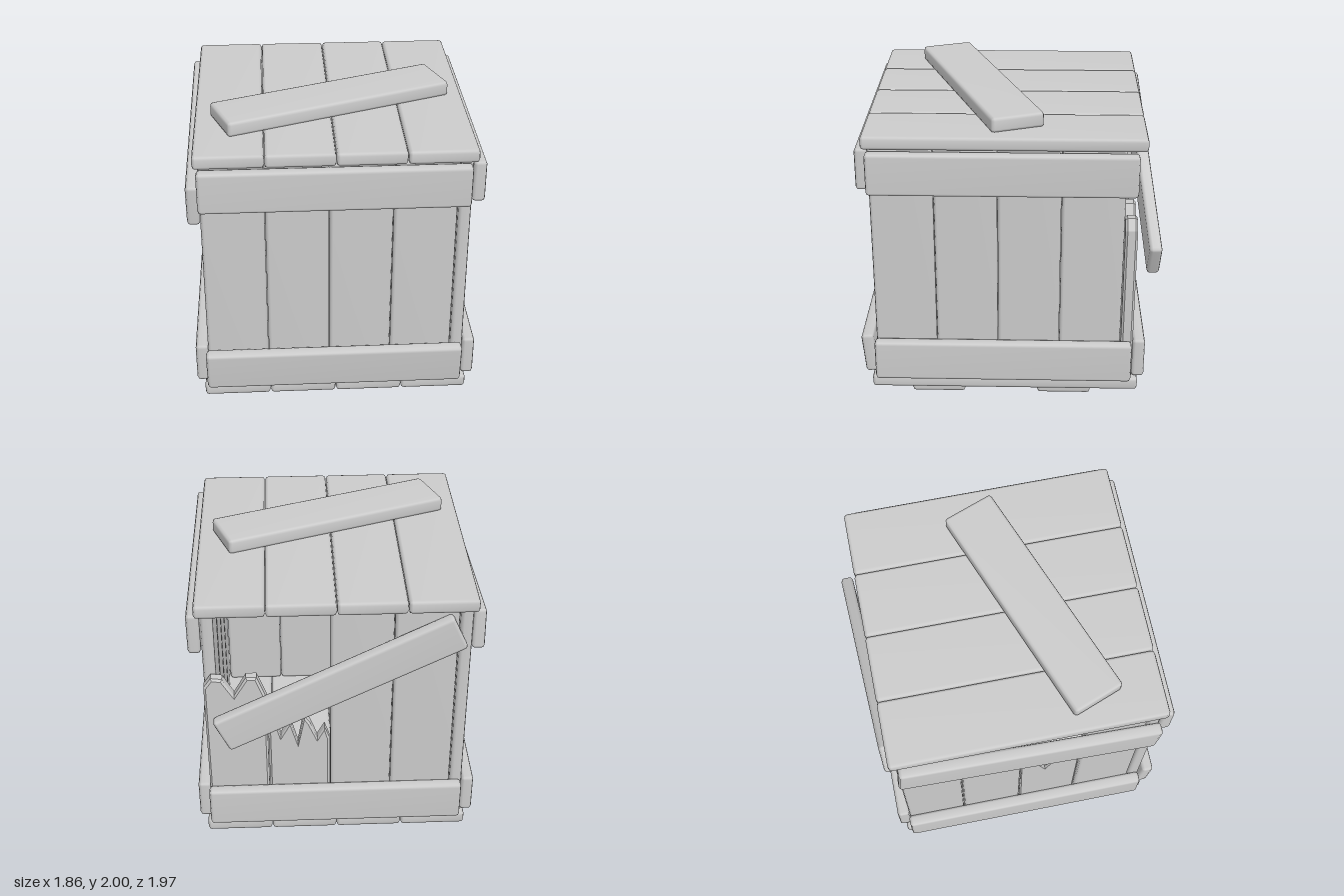
import * as THREE from 'three';
import { mergeVertices } from 'three/addons/utils/BufferGeometryUtils.js';

const wood = new THREE.MeshStandardMaterial({ color: 0xcccccc });

// Board with softly rounded edges and smooth normals
function boardGeometry(w, h, d, bevel = 0.022) {
  const box = new THREE.BoxGeometry(1, 1, 1, 3, 3, 3);
  box.deleteAttribute('uv');
  box.deleteAttribute('normal');
  const geo = mergeVertices(box);
  const pos = geo.attributes.position;
  const half = [w / 2, h / 2, d / 2];
  for (let i = 0; i < pos.count; i++) {
    const p = [pos.getX(i), pos.getY(i), pos.getZ(i)];
    const outer = p.filter((v) => Math.abs(v) > 0.4).length;
    const pull = bevel * [0, 0, 0.29, 0.42][outer];
    const q = p.map((v, k) => Math.sign(v) * (half[k] - (Math.abs(v) > 0.4 ? pull : bevel)));
    pos.setXYZ(i, ...q);
  }
  geo.computeVertexNormals();
  return geo;
}

function addBoard(parent, name, size, position, rotation = [0, 0, 0]) {
  const mesh = new THREE.Mesh(boardGeometry(...size), wood);
  mesh.name = name;
  mesh.position.set(...position);
  mesh.rotation.set(...rotation);
  parent.add(mesh);
}

// Snapped board: teeth are [fraction of width, height] along the top
function addBrokenBoard(parent, name, x, width, bottom, z, depth, teeth) {
  const b = 0.014;
  const shape = new THREE.Shape();
  shape.moveTo(x, bottom);
  shape.lineTo(x + width, bottom);
  [...teeth].reverse().forEach(([t, y]) => shape.lineTo(x + t * width, y));
  shape.closePath();
  const geo = new THREE.ExtrudeGeometry(shape, {
    depth: depth - 2 * b, bevelThickness: b, bevelSize: b, bevelOffset: -b, bevelSegments: 1,
  });
  const mesh = new THREE.Mesh(geo, wood);
  mesh.name = name;
  mesh.position.z = z - depth / 2 + b;
  parent.add(mesh);
}

export function createModel() {
  const crate = new THREE.Group();
  crate.name = 'brokenCrate';

  // Lid and floor boards running front to back
  for (let i = 0; i < 4; i++) {
    const x = -0.66 + i * 0.44;
    addBoard(crate, 'lidBoard', [0.438, 0.09, 1.775], [x, 1.862, 0.028]);
    addBoard(crate, 'floorBoard', [0.438, 0.09, 1.775], [x, 0.142, 0.028]);
  }

  // Skids underneath, loose slat on the lid
  for (const z of [0.48, -0.37]) {
    addBoard(crate, 'skid', [1.55, 0.1, 0.36], [0.005, 0.05, z]);
  }
  addBoard(crate, 'lidSlat', [1.55, 0.1, 0.35], [0.005, 1.95, 0.217], [0, 0.363, 0]);

  // Snapped boards, by wall and board index
  const broken = {
    '2,0': [[0, 1.27], [0.12, 1.34], [0.3, 1.33], [0.48, 1.2], [0.68, 1.34], [0.85, 1.34], [1, 1.18]],
    '2,1': [[0, 1.0], [0.1, 1.03], [0.2, 0.86], [0.36, 0.98], [0.48, 0.8], [0.58, 1.02],
      [0.68, 0.97], [0.8, 0.84], [0.92, 0.93], [1, 0.84]],
    '3,2': [[0, 1.33], [0.15, 1.2], [0.25, 1.26], [0.42, 1.06], [0.65, 1.39], [0.85, 1.38], [1, 1.22]],
  };

  // Four walls in a pinwheel: front, left, back, right
  const walls = ['frontWall', 'leftWall', 'backWall', 'rightWall'];
  walls.forEach((name, k) => {
    const wall = new THREE.Group();
    wall.name = name;
    wall.position.z = 0.03;
    wall.rotation.y = (k * Math.PI) / 2;
    crate.add(wall);

    for (let i = 0; i < 4; i++) {
      const x = -0.85 + i * 0.404;
      const teeth = broken[`${k},${i}`];
      if (teeth) addBrokenBoard(wall, 'brokenWallBoard', x, 0.4, 0.18, 0.81, 0.08, teeth);
      else addBoard(wall, 'wallBoard', [0.401, 1.64, 0.08], [x + 0.202, 1.005, 0.81]);
    }

    // Bands: some are crooked, the back upper one hangs loose
    const size = [1.695, 0.28, 0.083];
    const lower = k === 0 ? [[-0.012, 0.33, 0.903], [0.09, 0, 0]] : [[-0.008, 0.33, 0.89]];
    let upper = [[-0.01, 1.67, 0.89]];
    if (k === 2) upper = [[0.01, 1.345, 0.93], [0, 0.06, 0.43]];
    if (k === 3) upper = [[0, 1.605, 0.89], [0, 0, -0.076]];
    addBoard(wall, 'lowerBand', size, ...lower);
    addBoard(wall, k === 2 ? 'hangingBand' : 'upperBand', k === 2 ? [1.665, 0.25, 0.083] : size, ...upper);
  });

  return crate;
}
